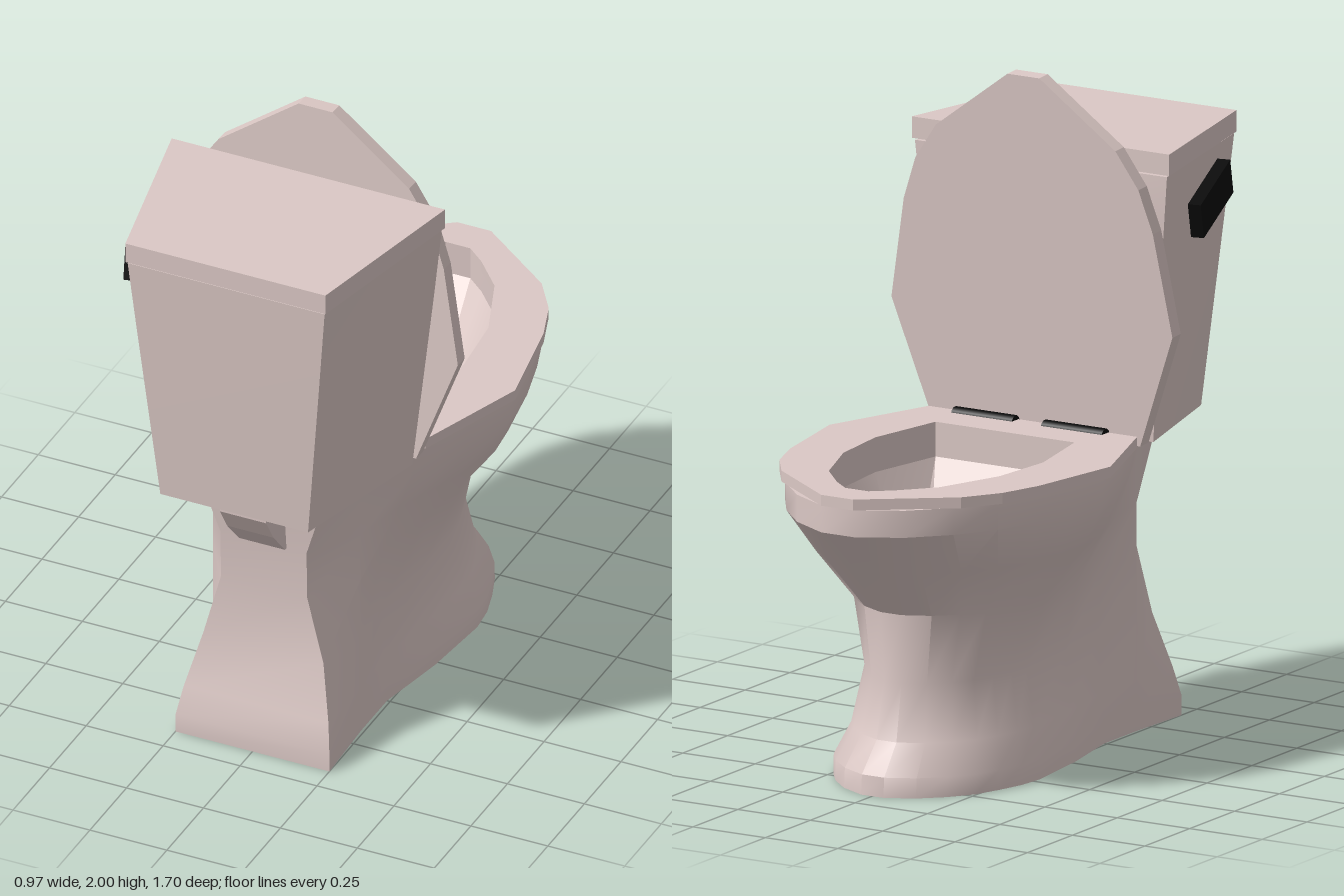
import * as THREE from 'three';
import { toCreasedNormals, mergeGeometries } from 'three/addons/utils/BufferGeometryUtils.js';

const V2 = (x, y) => new THREE.Vector2(x, y);

// Full outline from a right-hand half that runs front to back
const mirror = half => [...half, ...half.filter(p => p[0] > 0).reverse().map(([x, z]) => [-x, z])];

// Skin between stacked outlines: upwards faces outwards, downwards faces inwards
function loft(rings, crease) {
  const pos = [];
  for (let i = 0; i < rings.length - 1; i++) {
    const lo = rings[i], hi = rings[i + 1], n = lo.pts.length;
    for (let j = 0; j < n; j++) {
      const k = (j + 1) % n;
      const at = (r, m) => [r.pts[m][0], r.y, r.pts[m][1]];
      const a = at(lo, j), b = at(lo, k), c = at(hi, j), d = at(hi, k);
      pos.push(...a, ...c, ...b, ...b, ...c, ...d);
    }
  }
  const g = new THREE.BufferGeometry();
  g.setAttribute('position', new THREE.Float32BufferAttribute(pos, 3));
  return toCreasedNormals(g, crease);
}

// Flat face across an outline, facing up or down, with an optional hole
function cap({ pts, y }, up, hole) {
  const s = up ? -1 : 1;
  const shape = new THREE.Shape(pts.map(([x, z]) => V2(x, s * z)));
  if (hole) shape.holes.push(new THREE.Path(hole.map(([x, z]) => V2(x, s * z))));
  const g = new THREE.ShapeGeometry(shape).rotateX(s * Math.PI / 2).translate(0, y, 0).toNonIndexed();
  g.deleteAttribute('uv');
  return g;
}

// Oval body section: front end, half width, widest z, waist, rear flank, rear corner
function bodyRing([y, front, w, zc, waist, flank, rearX, rearZ]) {
  const oval = [[0.124, 1], [0.4, 0.9], [0.62, 0.755], [0.79, 0.59], [0.89, 0.4], [0.97, 0.2], [1, 0]];
  const half = oval.map(([u, v]) => [u * w, zc + v * (front - zc)]);
  half.push([(w + waist) / 2 + 0.01, (zc + 0.25) / 2], [waist, 0.25], [flank, 0.43], [rearX, rearZ]);
  return { y, pts: mirror(half) };
}

// Outline shared by the seat and its cover, hinge edge at y = 0
const ovalHalf = [[0.36, 0], [0.485, 0.35], [0.43, 0.66], [0.385, 0.79], [0.31, 0.9], [0.055, 1.09]];
const ovalShape = () => new THREE.Shape(mirror(ovalHalf).map(p => V2(...p)));

export function createModel() {
  const group = new THREE.Group();
  const ceramic = new THREE.MeshStandardMaterial({ color: 0xdbc8c5 });
  ceramic.name = 'ceramic';
  const black = new THREE.MeshStandardMaterial({ color: 0x0a0a0a });
  black.name = 'black';
  const add = (name, geometry, material = ceramic) => {
    const m = new THREE.Mesh(geometry, material);
    m.name = name;
    group.add(m);
    return m;
  };

  // Opening and drain outlines
  const opening = mirror([[0.04, -0.74], [0.1, -0.69], [0.19, -0.59], [0.27, -0.38], [0.29, -0.17], [0.24, 0.085]]);
  const drain = mirror([[0.065, -0.38], [0.09, -0.365], [0.11, -0.34], [0.125, -0.29], [0.115, -0.25], [0.085, -0.21]]);

  // Pedestal and outer bowl
  const rings = [
    [0.00, -0.655, 0.31, -0.22, 0.24, 0.24, 0.25, 0.665],
    [0.06, -0.65, 0.31, -0.22, 0.24, 0.24, 0.25, 0.665],
    [0.15, -0.575, 0.275, -0.2, 0.23, 0.24, 0.235, 0.64],
    [0.32, -0.54, 0.24, -0.18, 0.22, 0.24, 0.195, 0.59],
    [0.53, -0.55, 0.29, -0.16, 0.23, 0.24, 0.14, 0.585],
    [0.69, -0.7, 0.405, -0.14, 0.28, 0.24, 0.14, 0.59],
    [0.83, -0.845, 0.465, -0.12, 0.33, 0.24, 0.185, 0.605],
    [0.912, -0.845, 0.467, -0.12, 0.34, 0.25, 0.19, 0.61],
  ].map(bodyRing);
  const top = rings[rings.length - 1];
  add('pedestal', mergeGeometries([loft(rings, 0.6), cap(rings[0], false), cap(top, true, opening)]));

  // Inside of the bowl, falling to the drain
  const well = { y: 0.38, pts: drain };
  add('bowlInside', mergeGeometries([
    loft([{ y: 0.912, pts: opening }, { y: 0.84, pts: opening }, { y: 0.5, pts: drain }, well], 0.35),
    cap(well, true),
  ]));

  // Seat ring
  const seatShape = ovalShape();
  seatShape.holes.push(new THREE.Path(opening.map(([x, z]) => V2(x, 0.24 - z))));
  add('seat', new THREE.ExtrudeGeometry(seatShape, { depth: 0.033, bevelEnabled: false })
    .rotateX(-Math.PI / 2).translate(0, 0.912, 0.24));

  // Raised cover, leaning slightly over the bowl
  const cover = add('cover', new THREE.ExtrudeGeometry(ovalShape(), { depth: 0.047, bevelEnabled: false }));
  cover.position.set(0, 0.912, 0.257);
  cover.rotation.x = -0.064;

  // Hinges
  for (const side of [-1, 1]) {
    const hinge = add('hinge', new THREE.CylinderGeometry(0.023, 0.023, 0.21, 10).rotateZ(Math.PI / 2), black);
    hinge.position.set(side * 0.155, 0.937, 0.225);
  }

  // Tapered tank with a slightly bowed front
  const tankRing = (y, mid, fx, fz, bx, bz) => ({ y, pts: mirror([[0, mid], [fx, fz], [bx, bz]]) });
  const tank = [
    tankRing(0.91, 0.325, 0.36, 0.33, 0.24, 0.79),
    tankRing(1.5, 0.268, 0.414, 0.294, 0.298, 0.83),
    tankRing(1.73, 0.283, 0.435, 0.285, 0.32, 0.845),
  ];
  add('tank', mergeGeometries([loft(tank, 0.3), cap(tank[0], false), cap(tank[2], true)]));

  // Tank lid
  const lid = [1.735, 1.8].map(y => tankRing(y, 0.283, 0.444, 0.283, 0.325, 0.85));
  add('tankLid', mergeGeometries([loft(lid, 0.3), cap(lid[0], false), cap(lid[1], true)]));

  // Bracket under the tank
  const profile = [[0.5, 0.911], [0.73, 0.911], [0.73, 0.86], [0.68, 0.78], [0.6, 0.69], [0.5, 0.69]];
  add('tankBracket', new THREE.ExtrudeGeometry(new THREE.Shape(profile.map(p => V2(...p))), { depth: 0.15, bevelEnabled: false })
    .rotateY(-Math.PI / 2).translate(0.075, 0, 0));

  // Flush handle, tilted along the tank side
  const handle = add('flushHandle', new THREE.BoxGeometry(0.04, 0.11, 0.28), black);
  handle.position.set(-0.403, 1.6, 0.58);
  handle.lookAt(-0.403 + 0.065, 1.6 + 0.08, 0.58 + 0.28);

  return group;
}
